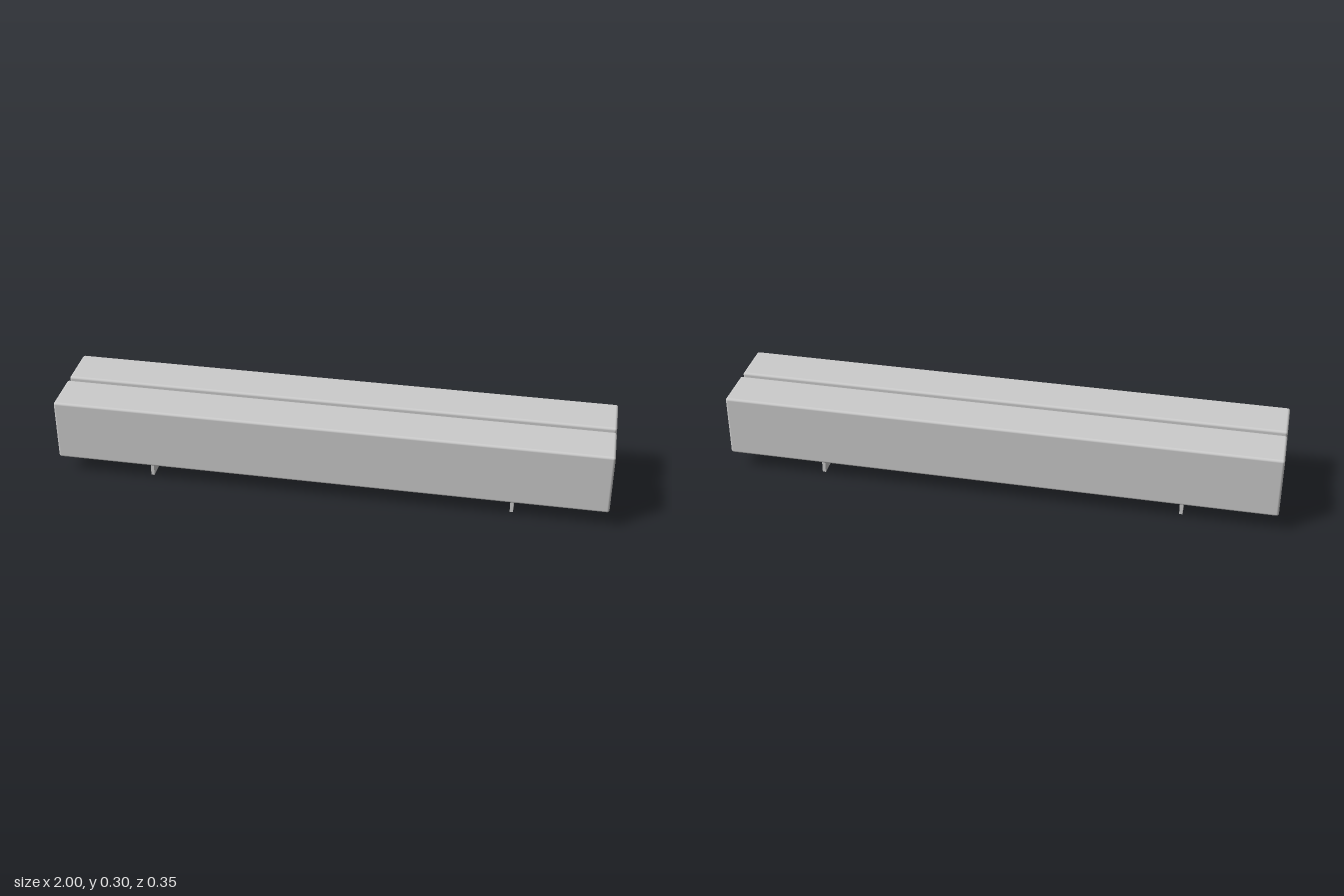
import * as THREE from 'three';
import { RoundedBoxGeometry } from 'three/addons/geometries/RoundedBoxGeometry.js';

export function createModel() {
  const model = new THREE.Group();
  model.name = 'beamBench';
  const material = new THREE.MeshStandardMaterial({ color: 0xcccccc });

  const add = (name, geometry, x, y, z) => {
    const mesh = new THREE.Mesh(geometry, material);
    mesh.name = name;
    mesh.position.set(x, y, z);
    model.add(mesh);
  };

  // Two softly rounded seat beams, each on a flat mounting rail
  const beam = new RoundedBoxGeometry(2, 0.232, 0.166, 4, 0.009);
  const rail = new THREE.BoxGeometry(1.668, 0.014, 0.083);
  for (const [side, s] of [['front', 1], ['back', -1]]) {
    add(side + 'SeatBeam', beam, 0, 0.184, s * 0.093);
    add(side + 'Rail', rail, 0, 0.062, s * 0.0915);
  }

  // Thin upright plates that carry the rails
  const foot = new THREE.BoxGeometry(0.012, 0.055, 0.266);
  for (const [side, s] of [['left', 1], ['right', -1]]) {
    add(side + 'Foot', foot, s * 0.66, 0.0275, 0);
  }

  return model;
}
